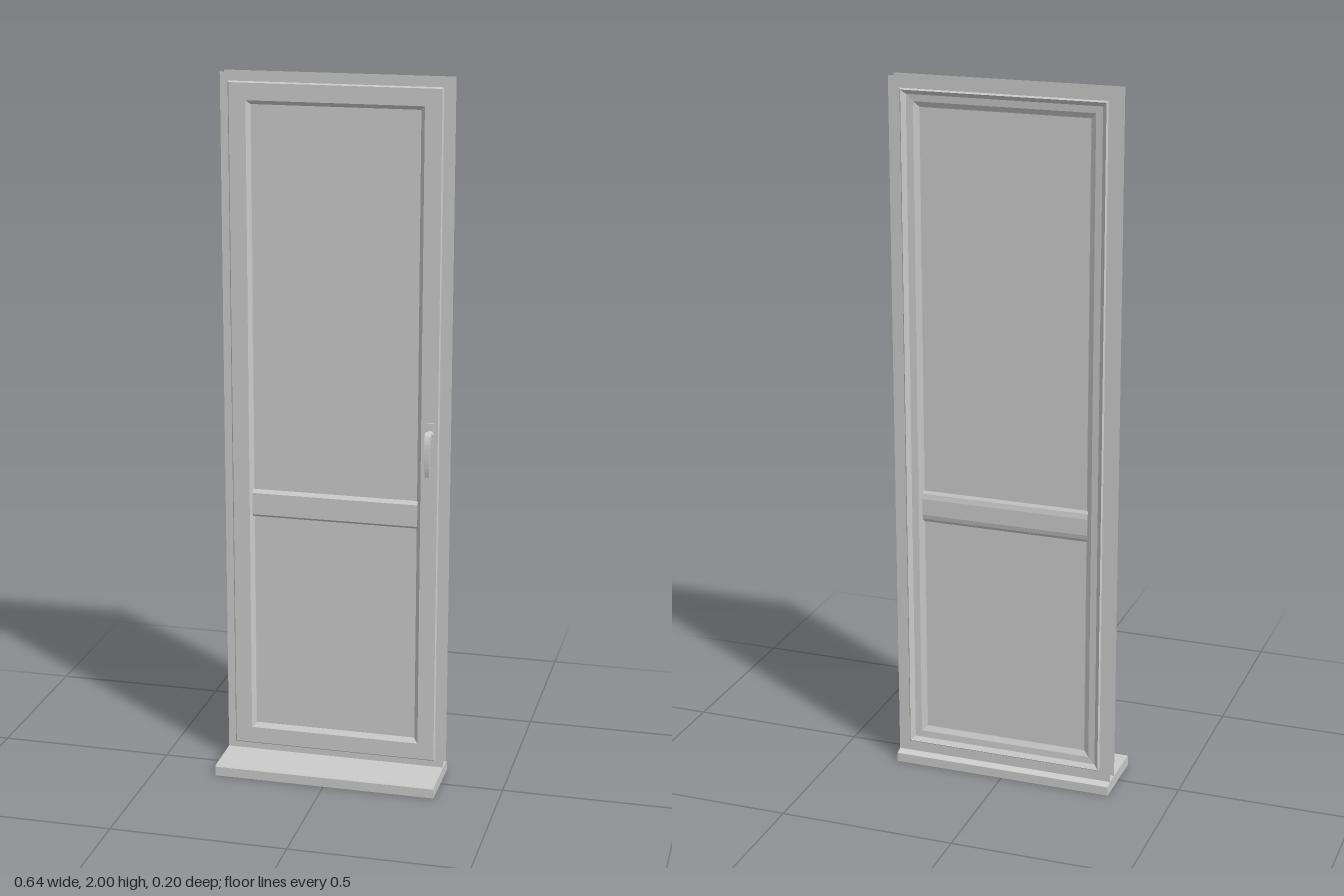
import * as THREE from 'three';

const W = 0.32, Y0 = 0.03, Y1 = 2.0;
const mat = new THREE.MeshStandardMaterial({ color: 0xcccccc, flatShading: true, side: THREE.DoubleSide });
const smooth = new THREE.MeshStandardMaterial({ color: 0xcccccc });

function add(parent, name, geometry, material = mat) {
  const mesh = new THREE.Mesh(geometry, material);
  mesh.name = name;
  parent.add(mesh);
  return mesh;
}

// Mitred rectangular ring; profile is a list of [inset, z], dir is the facing side (+1 front, -1 back)
function ring(profile, dir) {
  const pos = [];
  const corner = ([d, z], k) => [
    (k === 0 || k === 3 ? -1 : 1) * (W - d), k < 2 ? Y0 + d : Y1 - d, z];
  for (let i = 0; i < profile.length - 1; i++) {
    for (let k = 0; k < 4; k++) {
      const n = (k + 1) % 4;
      const a = corner(profile[i], k), b = corner(profile[i], n);
      const c = corner(profile[i + 1], n), e = corner(profile[i + 1], k);
      if (dir > 0) pos.push(...a, ...b, ...c, ...a, ...c, ...e);
      else pos.push(...a, ...c, ...b, ...a, ...e, ...c);
    }
  }
  const g = new THREE.BufferGeometry();
  g.setAttribute('position', new THREE.Float32BufferAttribute(pos, 3));
  g.computeVertexNormals();
  return g;
}

// Extrude a [z, y] outline along x, centred on x = 0
function alongX(points, width) {
  const shape = new THREE.Shape(points.map(([z, y]) => new THREE.Vector2(-z, y)));
  const g = new THREE.ExtrudeGeometry(shape, { depth: width, bevelEnabled: false });
  g.translate(0, 0, -width / 2);
  g.rotateY(Math.PI / 2);
  return g;
}

// Open strip running along x through [z, y] points, bottom to top
function strip(points, half, dir) {
  const pos = [];
  for (let i = 0; i < points.length - 1; i++) {
    const [z0, y0] = points[i], [z1, y1] = points[i + 1];
    const a = [-half, y0, z0], b = [half, y0, z0], c = [half, y1, z1], e = [-half, y1, z1];
    if (dir > 0) pos.push(...a, ...b, ...c, ...a, ...c, ...e);
    else pos.push(...a, ...c, ...b, ...a, ...e, ...c);
  }
  const g = new THREE.BufferGeometry();
  g.setAttribute('position', new THREE.Float32BufferAttribute(pos, 3));
  g.computeVertexNormals();
  return g;
}

function sheet(y0, y1, half, z, dir) {
  return strip([[z, y0], [z, y1]], half, dir);
}

function createHandle() {
  const handle = new THREE.Group();
  handle.name = 'handle';

  // Backplate and neck
  const plate = add(handle, 'handlePlate', new THREE.BoxGeometry(0.02, 0.07, 0.007));
  plate.position.set(0, 1.025, -0.027);
  const neck = add(handle, 'handleNeck', new THREE.CylinderGeometry(0.008, 0.010, 0.022, 16), smooth);
  neck.rotation.x = Math.PI / 2;
  neck.position.set(0, 1.03, -0.014);

  // Curved lever, tapering towards its tip
  const outer = new THREE.CatmullRomCurve3([
    [-0.008, 1.04], [0.007, 1.035], [0.016, 1.015], [0.020, 0.98], [0.018, 0.94], [0.012, 0.915],
  ].map(([z, y]) => new THREE.Vector3(0, y, z))).getPoints(14);
  const inner = new THREE.CatmullRomCurve3([
    [0.005, 0.917], [0.010, 0.95], [0.010, 0.985], [0.005, 1.01], [-0.008, 1.02],
  ].map(([z, y]) => new THREE.Vector3(0, y, z))).getPoints(14);
  const g = alongX([...outer, ...inner].map(p => [p.z, p.y]), 0.018);
  const p = g.attributes.position;
  for (let i = 0; i < p.count; i++) {
    p.setX(i, p.getX(i) * (0.65 + 0.35 * (p.getY(i) - 0.915) / 0.125));
  }
  add(handle, 'handleLever', g);

  handle.position.x = 0.272;
  return handle;
}

export function createModel() {
  const door = new THREE.Group();
  door.name = 'balconyDoor';

  // Sill board with a chamfered rear edge
  add(door, 'sill', alongX([
    [0.1, 0], [0.1, 0.027], [0.097, 0.031], [-0.08, 0.033], [-0.1, 0.026], [-0.1, 0],
  ], 2 * W));

  // Front: flat frame, raised sash, bevel down to the panels
  add(door, 'frontFrame', ring([[0, -0.04], [0.03, -0.04]], 1));
  add(door, 'frontSash', ring([[0.024, -0.04], [0.024, -0.032], [0.027, -0.029],
    [0.074, -0.029], [0.085, -0.038], [0.085, -0.045]], 1));
  add(door, 'frontMullion', strip([[-0.045, 0.75], [-0.036, 0.75], [-0.029, 0.757],
    [-0.029, 0.82], [-0.036, 0.828], [-0.045, 0.828]], 0.238, 1));

  // Back: frame with bevelled opening, recessed sash, bevel down to the panels
  add(door, 'backFrame', ring([[0, -0.08], [0.032, -0.08], [0.036, -0.085], [0.048, -0.075]], -1));
  add(door, 'backSash', ring([[0.04, -0.075], [0.067, -0.073], [0.08, -0.066], [0.085, -0.064]], -1));
  add(door, 'backMullion', strip([[-0.064, 0.745], [-0.07, 0.755], [-0.073, 0.768],
    [-0.073, 0.815], [-0.07, 0.83], [-0.064, 0.84]], 0.242, -1));

  // Glazing block above, two thin panel skins below
  const glass = add(door, 'glazing', new THREE.BoxGeometry(0.48, 1.105, 0.021));
  glass.position.set(0, 1.3675, -0.0545);
  add(door, 'lowerPanelFront', sheet(0.11, 0.76, 0.24, -0.044, 1));
  add(door, 'lowerPanelBack', sheet(0.11, 0.76, 0.24, -0.065, -1));

  // Spacer blocks at the upper corners of the glazing
  for (const s of [-1, 1]) {
    const block = add(door, 'spacerBlock', new THREE.BoxGeometry(0.014, 0.03, 0.022));
    block.position.set(s * 0.248, 1.9, -0.056);
  }

  door.add(createHandle());
  return door;
}
